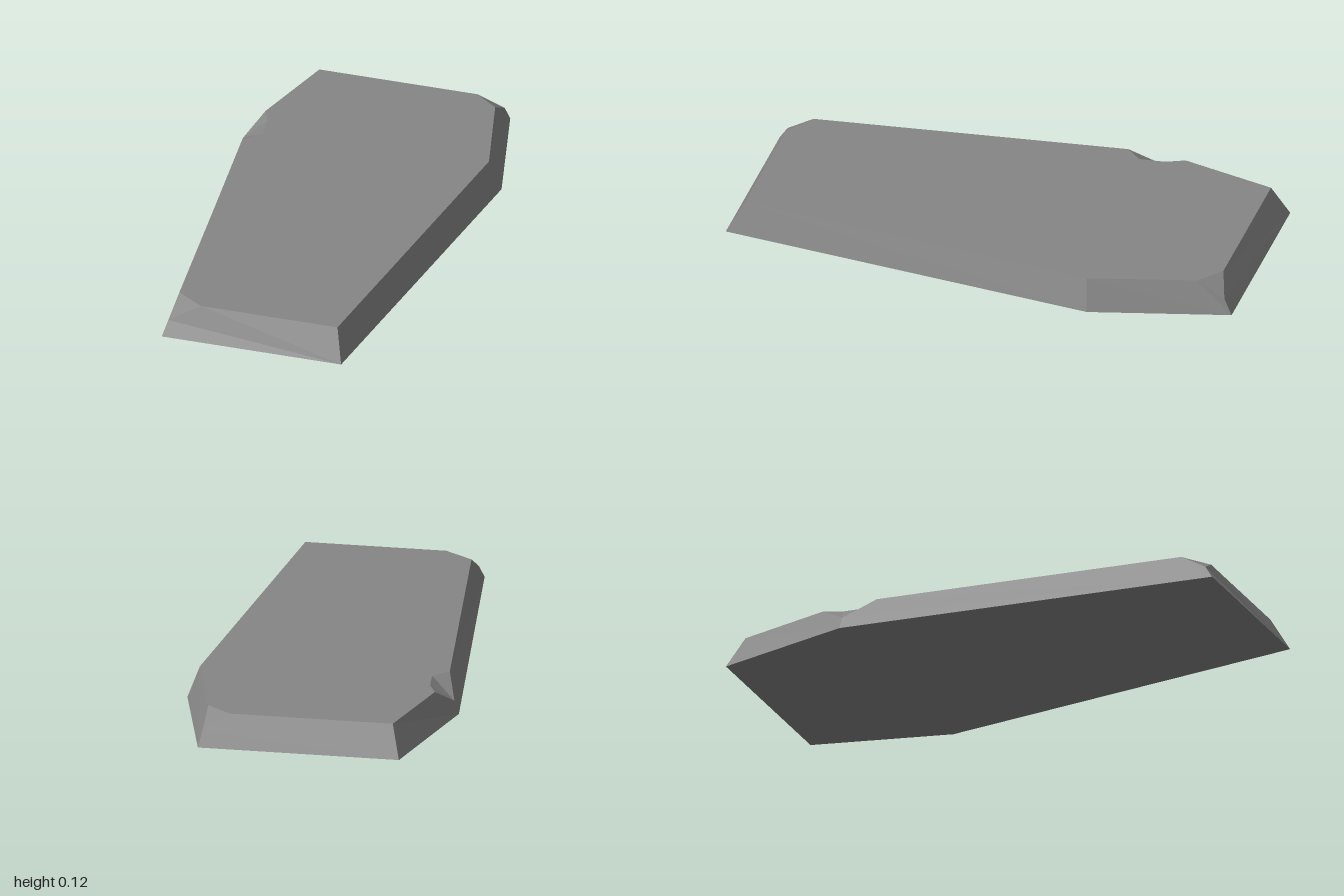
import * as THREE from 'three';

const H = 0.12;
const low = (x, z) => new THREE.Vector3(x, 0, z);
const top = (x, z) => new THREE.Vector3(x, H, z);

// Fan-triangulate convex faces, turning every triangle away from the slab centre.
function facesGeometry(faces) {
  const centre = new THREE.Vector3(0, H / 2, 0);
  const positions = [];
  for (const f of faces) {
    for (let i = 1; i < f.length - 1; i++) {
      const [a, b, c] = [f[0], f[i], f[i + 1]];
      const n = b.clone().sub(a).cross(c.clone().sub(a));
      const outward = n.dot(a.clone().sub(centre)) > 0;
      for (const p of outward ? [a, b, c] : [a, c, b]) positions.push(p.x, p.y, p.z);
    }
  }
  const g = new THREE.BufferGeometry();
  g.setAttribute('position', new THREE.Float32BufferAttribute(positions, 3));
  g.computeVertexNormals();
  return g;
}

export function createModel() {
  const group = new THREE.Group();
  group.name = 'coffinLid';
  const stone = new THREE.MeshStandardMaterial({ color: 0x868686 });
  stone.name = 'grey stone';

  // Bottom outline
  const backR = low(-0.385, -1), backL = low(0.385, -1);
  const sideL = low(0.52, -0.47), sideR = low(-0.52, -0.47);
  const footL = low(0.355, 1), footR = low(-0.355, 1);

  // Top outline; chipped corners have two points each
  const tBackR = top(-0.35, -0.935), tSideL = top(0.475, -0.455), tFootL = top(0.32, 0.935);
  const back1 = top(0.275, -0.935), back2 = top(0.37, -0.86);
  const foot1 = top(-0.22, 0.935), foot2 = top(-0.33, 0.86);
  const notch = [top(-0.462, -0.34), top(-0.405, -0.4), top(-0.415, -0.5), top(-0.446, -0.57)];

  // Lowest point of each chip, on the corner edge
  const backChip = new THREE.Vector3(0.373, 0.06, -0.968);
  const footChip = new THREE.Vector3(-0.34, 0.055, 0.965);
  const sideChip = new THREE.Vector3(-0.502, 0.05, -0.465);

  const add = (name, faces) => {
    const m = new THREE.Mesh(facesGeometry(faces), stone);
    m.name = name;
    group.add(m);
  };

  add('topFace', [[tSideL, tFootL, foot1, foot2, ...notch, tBackR, back1, back2]]);
  add('underside', [[backR, backL, sideL, footL, footR, sideR]]);
  add('slopedSides', [
    [backR, backL, backChip, back1, tBackR],
    [backL, sideL, tSideL, back2, backChip],
    [sideL, footL, tFootL, tSideL],
    [footL, footR, footChip, foot1, tFootL],
    [footR, sideR, sideChip, notch[0], foot2, footChip],
    [sideR, backR, tBackR, notch[3], sideChip],
  ]);
  add('cornerChips', [[backChip, back1, back2], [footChip, foot1, foot2]]);
  add('sideNotch', [[sideChip, ...notch]]);
  return group;
}
